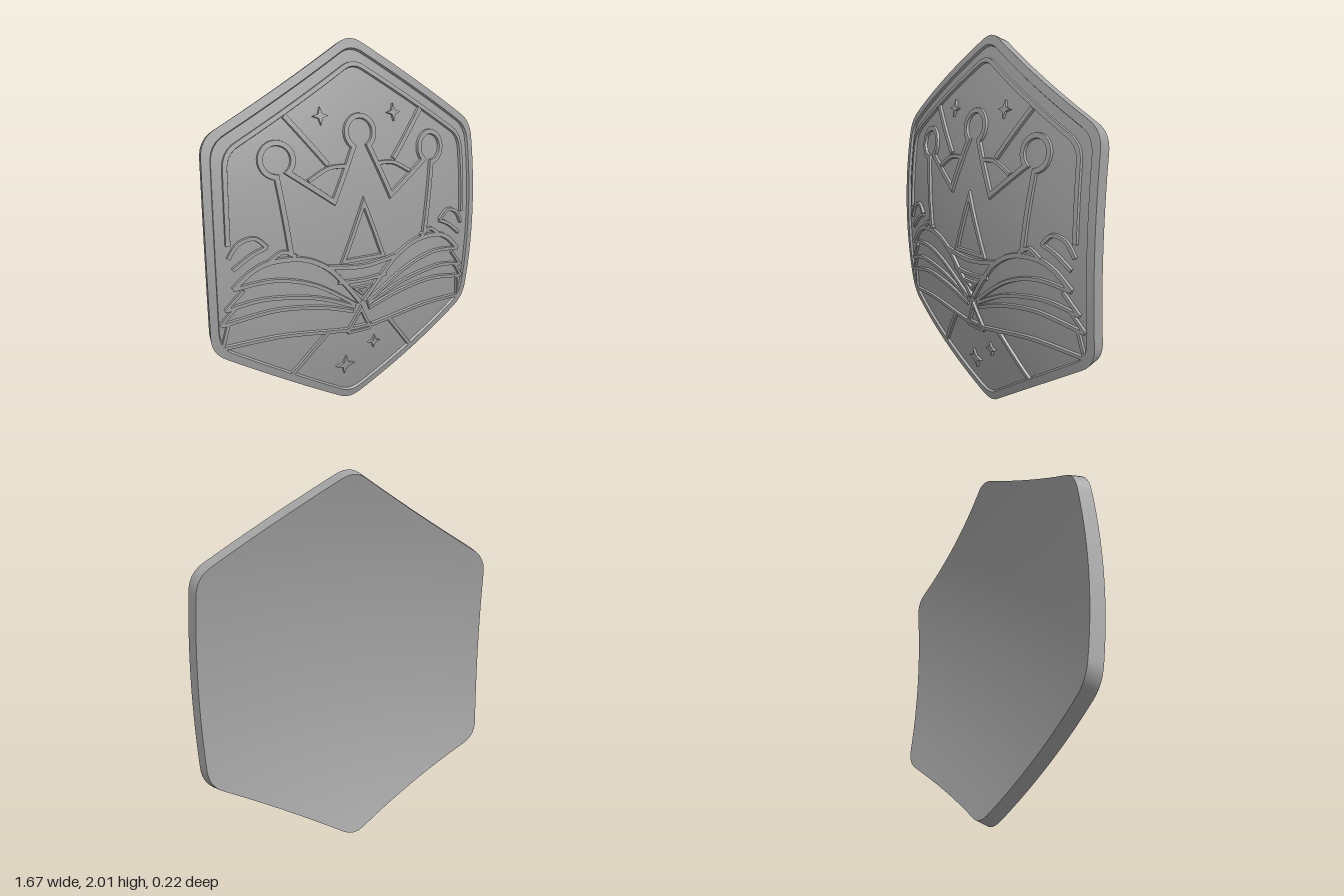
import * as THREE from 'three';
import { toCreasedNormals } from 'three/addons/utils/BufferGeometryUtils.js';

const R = 3.4, CREST = 0.097, RAISE = 0.014;
const V = (x, y) => new THREE.Vector2(x, y);

// Wraps a flat point at height h onto the shallow dome
function dome(x, y, h) {
  const k = (R + h) / R, v = y - 1;
  return [x * k, 1 + v * k, Math.sqrt(R * R - x * x - v * v) * k - R + CREST];
}

// Skins a series of equal-length rows of points
function skin(rows, caps) {
  const n = rows[0].length, index = [];
  for (let j = 0; j < rows.length - 1; j++)
    for (let i = 0; i < n - 1; i++) {
      const a = j * n + i, d = a + n;
      index.push(a, a + 1, d + 1, a, d + 1, d);
    }
  if (caps) {
    const e = (rows.length - 1) * n;
    index.push(0, 2, 1, 0, 3, 2, e, e + 1, e + 2, e, e + 2, e + 3);
  }
  const g = new THREE.BufferGeometry();
  g.setAttribute('position', new THREE.Float32BufferAttribute(rows.flat(2), 3));
  g.setIndex(index);
  return toCreasedNormals(g, 0.5);
}

// Rounded hexagon, clockwise from the top
function hexagon() {
  const p = new THREE.Path();
  p.moveTo(0, 2);
  p.quadraticCurveTo(0.035, 2, 0.07, 1.978);
  p.lineTo(0.75, 1.58);
  p.quadraticCurveTo(0.815, 1.54, 0.822, 1.46);
  p.quadraticCurveTo(0.845, 1, 0.822, 0.54);
  p.quadraticCurveTo(0.815, 0.46, 0.75, 0.42);
  p.lineTo(0.07, 0.022);
  p.quadraticCurveTo(0.035, 0, 0, 0);
  const half = p.getSpacedPoints(100);
  const left = half.slice(0, -1).reverse().map(q => V(-q.x, q.y));
  return [...half, ...left];
}

// Splits straight runs so they follow the dome
function dense(pts) {
  const out = [pts[0]];
  for (let i = 1; i < pts.length; i++) {
    const n = Math.max(1, Math.ceil(pts[i].distanceTo(pts[i - 1]) / 0.04));
    for (let k = 1; k <= n; k++) out.push(pts[i - 1].clone().lerp(pts[i], k / n));
  }
  return out;
}

const smooth = pts => new THREE.SplineCurve(pts).getPoints(pts.length * 7);

function arc(x, y, r, from, to) {
  return Array.from({ length: 29 }, (_, i) => {
    const a = THREE.MathUtils.degToRad(from + (to - from) * i / 28);
    return V(x + r * Math.cos(a), y + r * Math.sin(a));
  });
}

// Raised line with mitred corners
function ridge(path, width = 0.022) {
  const p = dense(path), n = p.length;
  const closed = p[0].distanceTo(p[n - 1]) < 1e-6;
  const rows = p.map((q, i) => {
    const prev = i > 0 ? p[i - 1] : closed ? p[n - 2] : null;
    const next = i < n - 1 ? p[i + 1] : closed ? p[1] : null;
    const a = prev ? q.clone().sub(prev).normalize() : next.clone().sub(q).normalize();
    const b = next ? next.clone().sub(q).normalize() : a;
    const t = a.clone().add(b).normalize();
    const m = 1 / Math.max(0.35, t.dot(a));
    const w = width / 2;
    return [[w + 0.003, -0.004], [w, RAISE], [-w, RAISE], [-w - 0.003, -0.004]]
      .map(([o, h]) => dome(q.x - t.y * o * m, q.y + t.x * o * m, h));
  });
  return skin(rows, !closed);
}

// Four-pointed raised star
function star(x, y, r) {
  const shape = new THREE.Shape(Array.from({ length: 8 }, (_, i) => {
    const a = i * Math.PI / 4, d = i % 2 ? r * 0.36 : r;
    return V(x + d * Math.cos(a), y + d * Math.sin(a));
  }));
  const g = new THREE.ExtrudeGeometry(shape, { depth: RAISE + 0.004, bevelEnabled: false });
  const pos = g.attributes.position;
  for (let i = 0; i < pos.count; i++)
    pos.setXYZ(i, ...dome(pos.getX(i), pos.getY(i), pos.getZ(i) - 0.004));
  g.computeVertexNormals();
  return g;
}

export function createModel() {
  const model = new THREE.Group();
  const metal = new THREE.MeshStandardMaterial({ color: 0xa3a3a3 });
  metal.name = 'plain grey';
  const add = (parent, name, geo) => {
    const mesh = new THREE.Mesh(geo, metal);
    mesh.name = name;
    parent.add(mesh);
  };
  const group = name => {
    const g = new THREE.Group();
    g.name = name;
    model.add(g);
    return g;
  };
  const toPts = list => list.map(([x, y]) => V(x, y));
  const both = (parent, name, pts, width) => {
    add(parent, name + 'Left', ridge(pts, width));
    add(parent, name + 'Right', ridge(pts.map(q => V(-q.x, q.y)), width));
  };

  // Domed plate: face, raised rim, side wall and hollow back
  const outline = hexagon();
  const steps = Array.from({ length: 13 }, (_, i) => i / 12);
  const profile = [
    ...steps.map(s => [s * 0.947, 0]), [0.952, RAISE], [1, RAISE],
    ...steps.map(s => [1 - s, -0.062]),
  ];
  add(model, 'plate', skin(profile.map(([s, h]) =>
    outline.map(q => dome(q.x * s, 1 + (q.y - 1) * s, h)))));

  // Inner frame around the upper half
  const frame = outline.slice(0, -1).map(q => V(q.x * 0.874, 1 + (q.y - 1) * 0.874))
    .filter(q => q.y > 1.02)
    .sort((a, b) => Math.atan2(a.y - 1, a.x) - Math.atan2(b.y - 1, b.x));
  add(model, 'innerFrame', ridge(frame, 0.022));

  // Crown
  const crown = group('crown');
  both(crown, 'crownOutline', [
    ...arc(0, 1.535, 0.083, 90, -57), V(0.175, 1.195),
    ...arc(0.467, 1.425, 0.083, 230, -86), V(0.415, 0.94),
  ], 0.025);
  both(crown, 'crownBackArc', smooth(toPts([[0.1, 1.37], [0.2, 1.365], [0.31, 1.31]])), 0.018);
  add(crown, 'crownTriangle',
    ridge(toPts([[0, 1.172], [-0.125, 0.868], [0.125, 0.868], [0, 1.172]]), 0.02));

  // Rays behind the crown and below the book
  const rays = group('rays');
  both(rays, 'upperRay', toPts([[0.41, 1.635], [0.2, 1.385]]), 0.024);
  both(rays, 'lowerRay', toPts([[0.2, 0.47], [0.385, 0.255]]), 0.02);

  // Open book: page edges, curled leaves, spine
  const book = group('book');
  const curves = {
    topPage: [[0.01, 0.62], [0.1, 0.73], [0.22, 0.85], [0.36, 0.915], [0.52, 0.92], [0.62, 0.88], [0.71, 0.8]],
    topPageEdge: [[0.71, 0.8], [0.5, 0.82], [0.28, 0.76], [0.04, 0.61]],
    secondPageEdge: [[0.75, 0.69], [0.55, 0.725], [0.28, 0.69], [0.04, 0.595]],
    thirdPageEdge: [[0.77, 0.61], [0.5, 0.655], [0.25, 0.63], [0.05, 0.57]],
    coverBottom: [[0.76, 0.48], [0.45, 0.5], [0.08, 0.46]],
    leafCurl: [[0.54, 1.0], [0.6, 1.05], [0.68, 1.03], [0.73, 0.96]],
    leafFold: [[0.54, 1.0], [0.62, 0.965], [0.71, 0.9]],
    smallCurl: [[0.39, 0.935], [0.46, 0.965], [0.53, 0.925]],
  };
  for (const [name, pts] of Object.entries(curves))
    both(book, name, smooth(toPts(pts)), name === 'topPage' ? 0.024 : 0.018);
  const lines = {
    secondPageSide: [[0.66, 0.79], [0.75, 0.69]],
    thirdPageSide: [[0.7, 0.7], [0.775, 0.61]],
    coverSide: [[0.735, 0.615], [0.762, 0.48]],
    spineTab: [[0.08, 0.47], [0.065, 0.443], [0, 0.443]],
  };
  for (const [name, pts] of Object.entries(lines)) both(book, name, toPts(pts), 0.016);
  add(book, 'spineTriangle',
    ridge(toPts([[0, 0.575], [-0.062, 0.465], [0.062, 0.465], [0, 0.575]]), 0.016));
  add(book, 'upperBand', ridge(smooth(toPts([[-0.21, 0.85], [0, 0.825], [0.21, 0.85]])), 0.022));
  add(book, 'lowerBand', ridge(smooth(toPts([[-0.15, 0.755], [0, 0.745], [0.15, 0.755]])), 0.018));
  add(book, 'centreNotch',
    ridge(toPts([[-0.045, 0.705], [0.045, 0.705], [0, 0.665], [-0.045, 0.705]]), 0.012));

  // Stars
  const stars = group('stars');
  [[-0.22, 1.625, 0.045], [0.22, 1.625, 0.045], [-0.065, 0.235, 0.058], [0.11, 0.345, 0.04]]
    .forEach((s, i) => add(stars, 'star' + (i + 1), star(...s)));

  return model;
}
